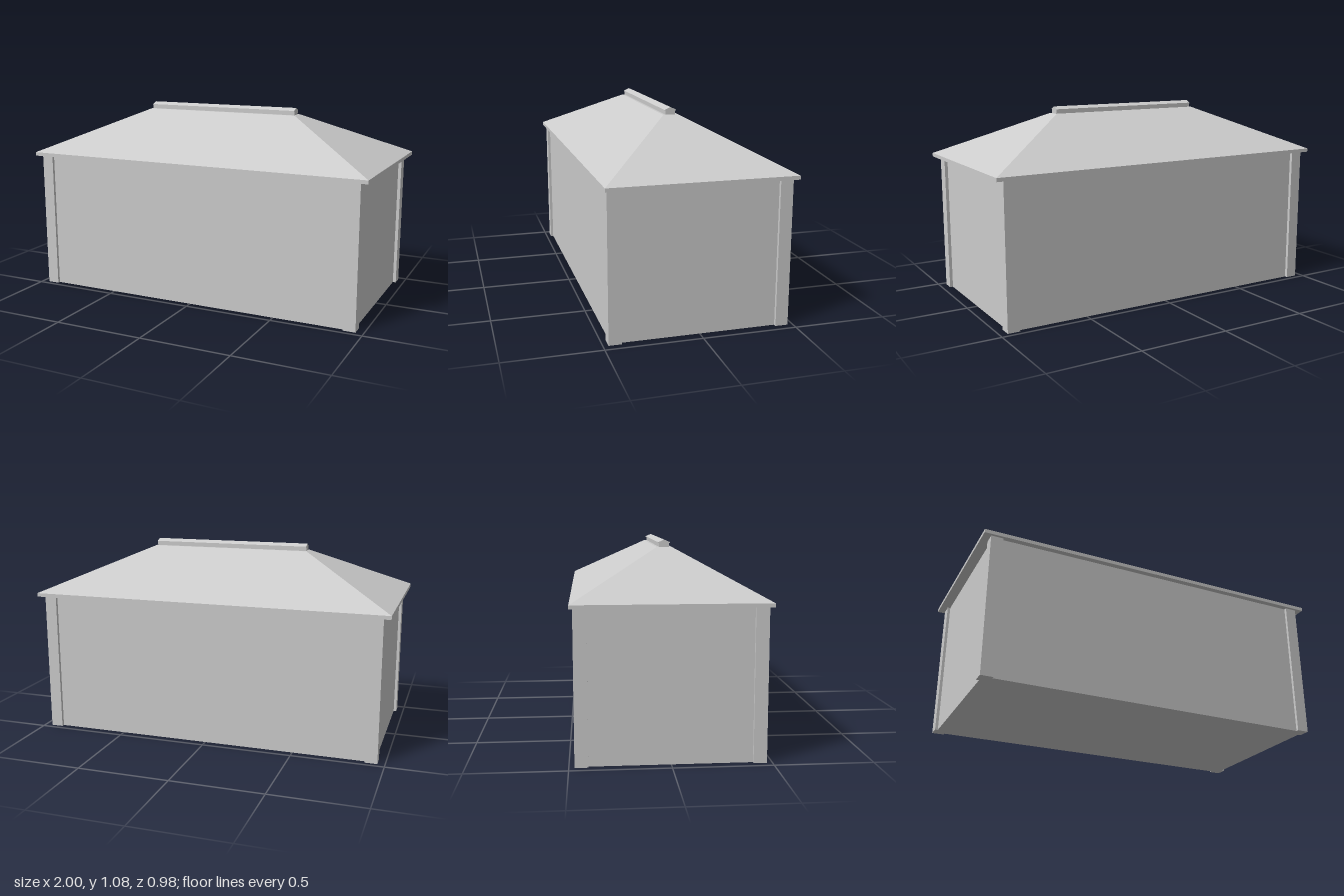
import * as THREE from 'three';

export function createModel() {
  const model = new THREE.Group();
  const material = new THREE.MeshStandardMaterial({ color: 0xcccccc, flatShading: true });

  const add = (name, geometry, x = 0, y = 0, z = 0) => {
    const mesh = new THREE.Mesh(geometry, material);
    mesh.name = name;
    mesh.position.set(x, y, z);
    model.add(mesh);
    return mesh;
  };

  const eaveBottom = 0.777, eaveTop = 0.797, ridgeY = 1.038;

  // Walls, set slightly back from the corner posts
  add('walls', new THREE.BoxGeometry(1.886, eaveBottom, 0.912), -0.002, eaveBottom / 2, 0.001);

  // Four square corner posts
  for (const x of [-0.927, 0.925])
    for (const z of [-0.439, 0.439])
      add('cornerPost', new THREE.BoxGeometry(0.067, eaveBottom, 0.067), x, eaveBottom / 2, z);

  // Eave slab
  add('eave', new THREE.BoxGeometry(2, eaveTop - eaveBottom, 0.978), 0, (eaveTop + eaveBottom) / 2, 0);

  // Hipped roof: a box whose top is drawn in to the narrow ridge
  const roof = new THREE.BoxGeometry(2, ridgeY - eaveTop, 0.978);
  const pos = roof.attributes.position;
  for (let i = 0; i < pos.count; i++) {
    if (pos.getY(i) > 0) {
      pos.setX(i, pos.getX(i) > 0 ? 0.453 : -0.462);
      pos.setZ(i, pos.getZ(i) > 0 ? 0.05 : -0.031);
    }
  }
  roof.computeVertexNormals();
  add('hippedRoof', roof, 0, (ridgeY + eaveTop) / 2, 0);

  // Ridge cap: upright sides under a small overhanging gable
  const profile = new THREE.Shape([
    [-0.027, 0], [0.027, 0], [0.027, 0.021], [0.032, 0.021],
    [0.032, 0.025], [0, 0.039], [-0.032, 0.025], [-0.032, 0.021], [-0.027, 0.021],
  ].map(([x, y]) => new THREE.Vector2(x, y)));
  const length = 0.904;
  const cap = new THREE.ExtrudeGeometry(profile, { depth: length, bevelEnabled: false });
  cap.translate(0, 0, -length / 2).rotateY(Math.PI / 2);
  add('ridgeCap', cap, -0.005, ridgeY, 0.01);

  return model;
}
